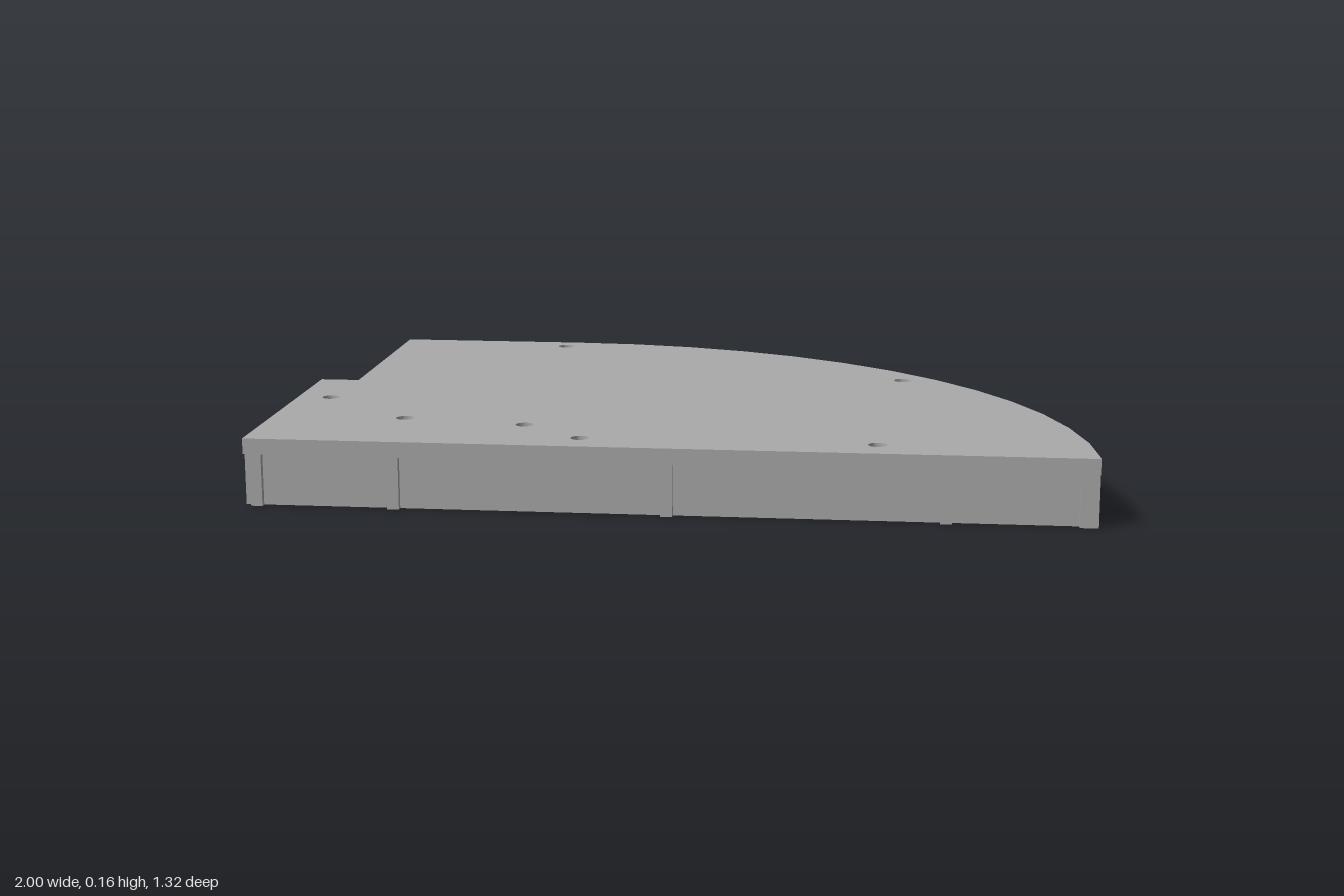
import * as THREE from 'three';
import { toCreasedNormals } from 'three/addons/utils/BufferGeometryUtils.js';

const H = 0.163, UNDER = 0.125;          // overall height, underside of the deck
const CX = -0.4, CZ = 0.742, R = 1.402;  // centre and radius of the curved edge
const RIB = 0.028;

// Corner points of the plan (x, -z), with separate insets for each kind of edge
function plan(left, inset, front) {
  const r = R - inset, end = Math.asin((CZ - front) / r), n = 13;
  const pts = [[-1 + left, -front]];
  for (let i = 0; i <= n; i++) {
    const a = end + (Math.PI / 2 - end) * i / n;
    pts.push([CX + r * Math.cos(a), -CZ + r * Math.sin(a)]);
  }
  pts.push([-0.9 + inset, 0.66 - inset], [-0.9 + inset, 0.055 - inset], [-1 + left, 0.055 - inset]);
  return pts.map(p => new THREE.Vector2(...p));
}

function extrudeUp(shape, y, height) {
  const g = new THREE.ExtrudeGeometry(shape, { depth: height, bevelEnabled: false, curveSegments: 12 });
  g.rotateX(-Math.PI / 2).translate(0, y, 0);
  return toCreasedNormals(g, 0.35);
}

export function createModel() {
  const model = new THREE.Group();
  model.name = 'ribbedDeck';
  const grey = new THREE.MeshStandardMaterial({ color: 0xaaaaaa });
  grey.name = 'grey';

  const add = (name, geometry) => {
    const mesh = new THREE.Mesh(geometry, grey);
    mesh.name = name;
    model.add(mesh);
    return mesh;
  };
  // Box between x, z limits, from the ground to the underside of the deck
  const rib = (name, x0, x1, z0, z1) => {
    const g = new THREE.BoxGeometry(x1 - x0, UNDER, z1 - z0);
    g.translate((x0 + x1) / 2, UNDER / 2, (z0 + z1) / 2);
    add(name, g);
  };

  // Deck with screw holes
  const screws = [[-0.43, -0.6], [0.535, -0.2], [-0.915, 0.17], [-0.67, 0.395],
    [-0.365, 0.44], [-0.21, 0.57], [0.49, 0.57]];
  const deck = new THREE.Shape(plan(0, 0, 0.66));
  for (const [x, z] of screws) {
    deck.holes.push(new THREE.Path().absarc(x, -z, 0.022, 0, Math.PI * 2, true));
  }
  add('deck', extrudeUp(deck, UNDER, H - UNDER));

  // Skirt wall, set back under the deck at the front and left
  const skirt = new THREE.Shape(plan(0.015, 0, 0.645));
  skirt.holes.push(new THREE.Path(plan(0.045, 0.033, 0.615).reverse()));
  add('skirtWall', extrudeUp(skirt, 0, UNDER));

  // Ribs running front to back, ending flush with the deck at the front
  for (const x of [-0.642, 0.005, 0.652]) {
    const back = x < CX ? -0.64 : CZ - Math.sqrt(1.38 ** 2 - (x - CX) ** 2);
    rib('lengthRib', x - RIB / 2, x + RIB / 2, back, 0.66);
  }
  // Ribs running side to side
  for (const [z, left] of [[-0.31, -0.88], [0.34, -1]]) {
    const right = CX + Math.sqrt(1.38 ** 2 - (z - CZ) ** 2);
    rib('crossRib', left, right, z - RIB / 2, z + RIB / 2);
  }
  // Short rib ends at the corners
  rib('frontLeftStub', -0.985, -0.957, 0.62, 0.66);
  rib('sideFrontStub', -1, -0.96, 0.617, 0.645);
  rib('notchStub', -1, -0.96, -0.055, -0.022);
  rib('frontRightStub', 0.955, 0.998, 0.62, 0.66);

  // Hollow screw bosses
  const profile = [[0.013, UNDER], [0.013, 0.02], [0.056, 0.02], [0.056, UNDER], [0.013, UNDER]]
    .map(p => new THREE.Vector2(...p));
  const bossGeometry = toCreasedNormals(new THREE.LatheGeometry(profile, 24), 0.5);
  for (const [x, z] of screws) add('screwBoss', bossGeometry).position.set(x, 0, z);

  return model;
}
